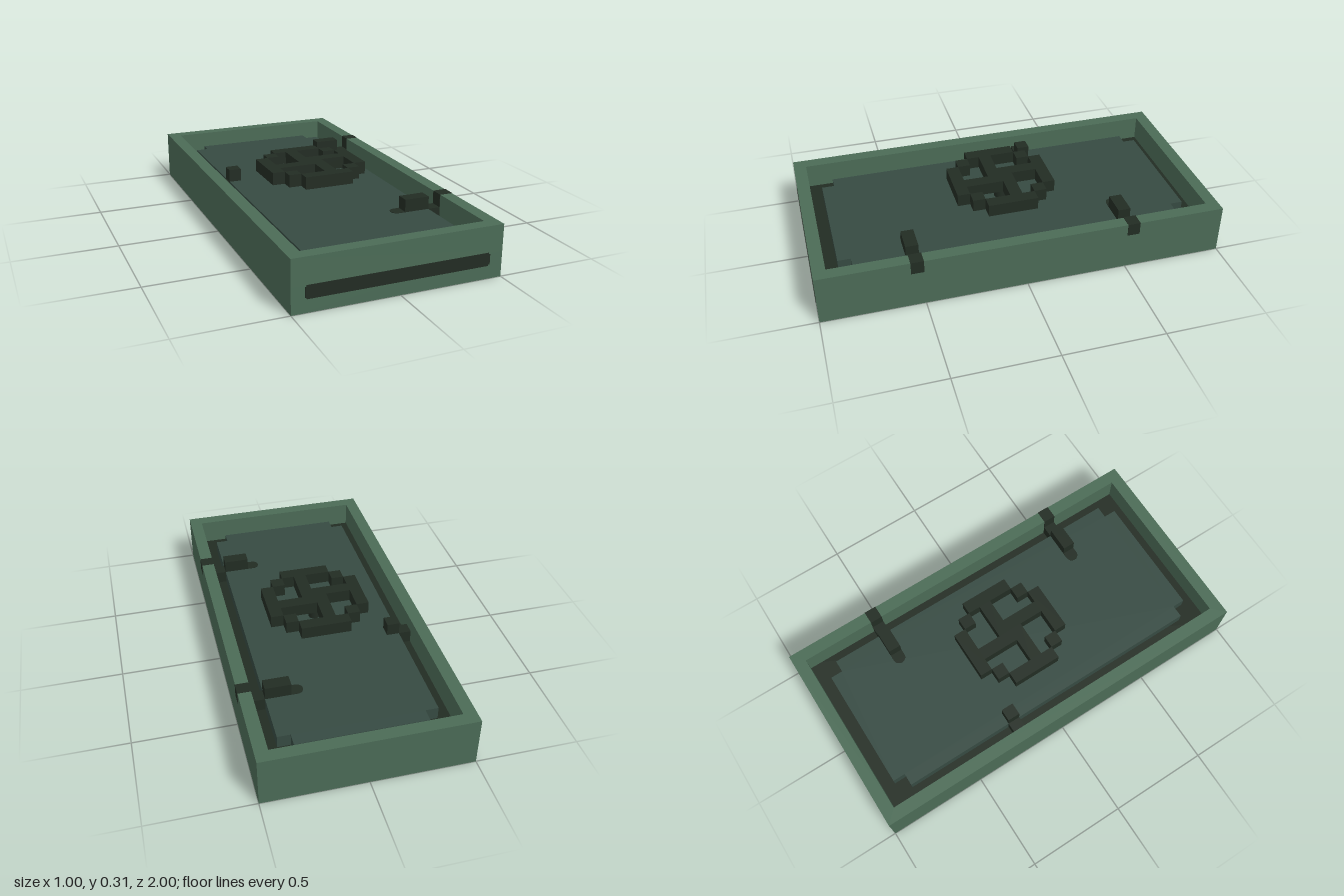
import * as THREE from 'three';

export function createModel() {
  const door = new THREE.Group();
  door.name = 'vaultDoor';

  const mat = (name, color) => {
    const m = new THREE.MeshStandardMaterial({ color });
    m.name = name;
    return m;
  };
  const green = mat('frame green', 0x4b6b56);
  const slate = mat('panel slate green', 0x364a42);
  const dark = mat('dark iron', 0x222c23);

  const add = (name, geo, material, parent = door) => {
    const mesh = new THREE.Mesh(geo, material);
    mesh.name = name;
    parent.add(mesh);
    return mesh;
  };
  // Box given by its minimum and maximum corners
  const box = (name, [x0, y0, z0], [x1, y1, z1], material, parent) => {
    const geo = new THREE.BoxGeometry(x1 - x0, y1 - y0, z1 - z0);
    geo.translate((x0 + x1) / 2, (y0 + y1) / 2, (z0 + z1) / 2);
    return add(name, geo, material, parent);
  };
  // Flat outline in plan, raised from y0 to y1
  const slab = (shape, y0, y1) => {
    const geo = new THREE.ExtrudeGeometry(shape, { depth: y1 - y0, bevelEnabled: false, curveSegments: 12 });
    return geo.rotateX(-Math.PI / 2).translate(0, y0, 0);
  };
  const rectangle = (w, d) => [[-w, -d], [w, -d], [w, d], [-w, d]].map(([x, y]) => new THREE.Vector2(x, y));
  // Rectangle with a square notch in each corner
  const notched = (w, d, n) => new THREE.Shape([
    [-w + n, -d], [w - n, -d], [w - n, -d + n], [w, -d + n],
    [w, d - n], [w - n, d - n], [w - n, d], [-w + n, d],
    [-w + n, d - n], [-w, d - n], [-w, -d + n], [-w + n, -d + n],
  ].map(([x, y]) => new THREE.Vector2(x, y)));

  const u = 0.0625; // grid step shared by all parts
  const ringY = 2 * u, panelY = 3 * u, rimY = 4 * u;

  // Base with a dark top that shows as the channel floor
  box('base', [-0.5, 0, -1], [0.5, ringY, 1], [green, green, dark, green, green, green]);

  // Raised rim around the recess
  const rim = new THREE.Shape(rectangle(0.5, 1));
  rim.holes.push(new THREE.Path(rectangle(0.5 - u, 1 - u)));
  add('rim', slab(rim, ringY, rimY), green);

  // Inner panel
  add('panel', slab(notched(6 * u, 14 * u, u), ringY, panelY), slate);

  // Slot across the front edge
  const slot = new THREE.ExtrudeGeometry(notched(0.4375, u / 2, 0.007), { depth: 0.003, bevelEnabled: false });
  add('frontSlot', slot.translate(0, 1.5 * u, 0.999), dark);

  // Handwheel: four-way symmetrical ring and offset spokes
  const wheel = new THREE.Group();
  wheel.name = 'handwheel';
  door.add(wheel);
  for (let i = 0; i < 4; i++) {
    const quarter = new THREE.Group();
    quarter.name = 'wheelQuarter';
    quarter.rotation.y = i * Math.PI / 2;
    wheel.add(quarter);
    box('rimBar', [-2 * u, rimY, -4 * u], [2 * u, 5 * u, -3 * u], dark, quarter);
    box('rimCorner', [-3 * u, rimY, -3 * u], [-2 * u, 5 * u, -2 * u], dark, quarter);
    box('spoke', [-u, rimY, -3 * u], [0, 5 * u, 0], dark, quarter);
  }
  const stem = new THREE.CylinderGeometry(0.03, 0.03, u, 12);
  add('wheelStem', stem.translate(0, panelY + u / 2, 0), dark, wheel);

  // Two hinges on the left edge
  for (const side of [-1, 1]) {
    const hinge = new THREE.Group();
    hinge.name = 'hinge';
    hinge.position.z = side * 8.5 * u;
    door.add(hinge);
    const h = u / 2;
    box('hingeBlock', [4 * u, panelY, -h], [6 * u, rimY, h], dark, hinge);
    box('hingeLink', [6 * u, ringY, -h], [7 * u, panelY, h], dark, hinge);
    box('rimInset', [7 * u - 0.002, panelY, -h], [0.5015, rimY + 0.0015, h], dark, hinge);
    // Round-ended groove painted on the panel
    const groove = new THREE.Shape();
    groove.moveTo(6 * u, -h);
    groove.lineTo(6 * u, h);
    groove.lineTo(0.22, h);
    groove.absarc(0.22, 0, h, Math.PI / 2, Math.PI * 1.5, false);
    add('hingeGroove', slab(groove, panelY, panelY + 0.002), dark, hinge);
  }

  // Latch on the opposite edge
  box('latchBlock', [-6 * u, panelY, -4 * u], [-5 * u, rimY, -3 * u], dark);
  box('latchLink', [-7 * u, ringY, -4 * u], [-6 * u, panelY, -3 * u], dark);

  return door;
}
